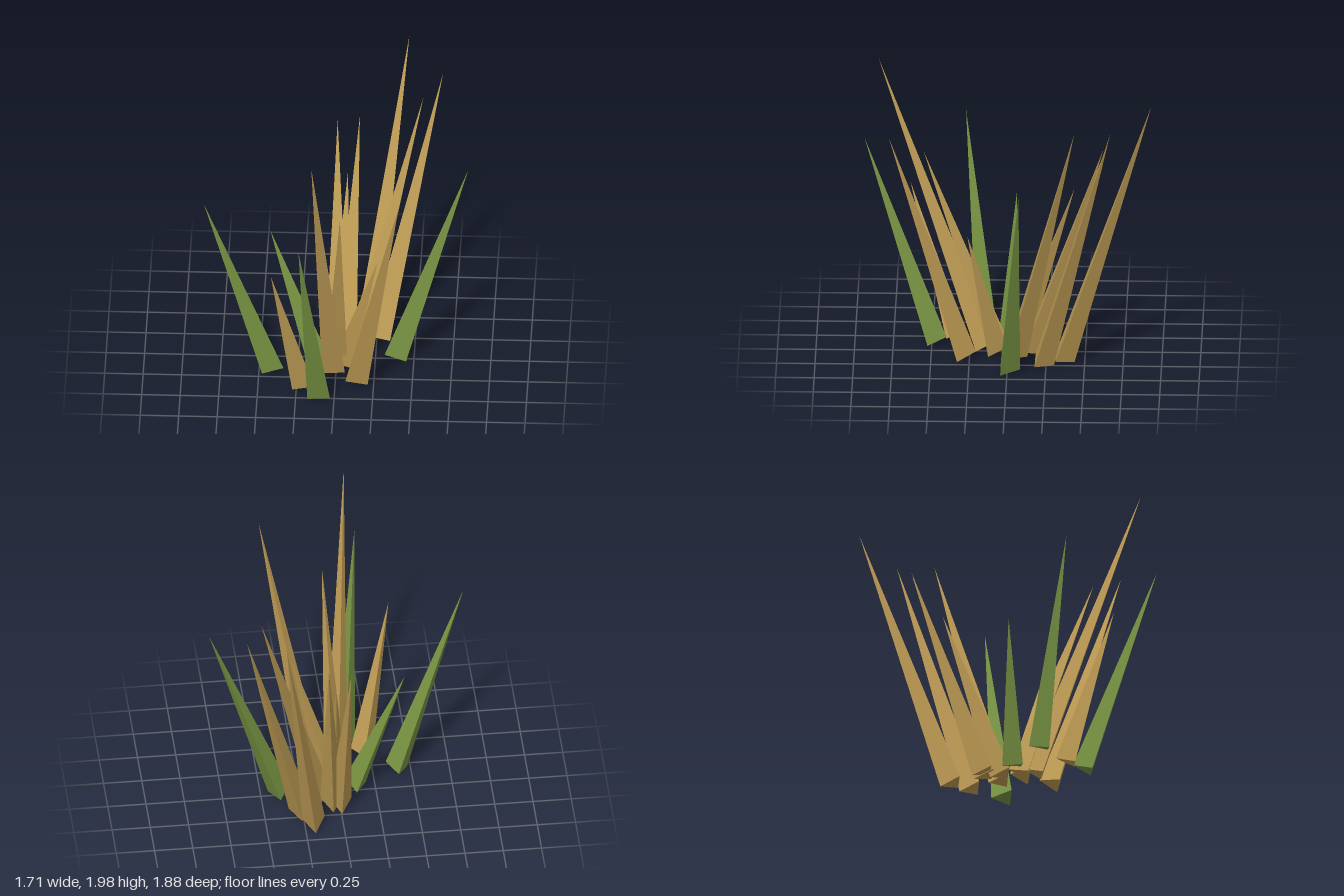
import * as THREE from 'three';

export function createModel() {
  const group = new THREE.Group();
  group.name = 'grassTuft';

  const dryStraw = new THREE.MeshStandardMaterial({ color: 0xc09d55 });
  dryStraw.name = 'dryStraw';
  const freshGreen = new THREE.MeshStandardMaterial({ color: 0x789442 });
  freshGreen.name = 'freshGreen';
  dryStraw.flatShading = freshGreen.flatShading = true;

  const UP = new THREE.Vector3(0, 1, 0);
  const BASE_Y = 0.03;
  const RADIUS = 0.085;

  // Three-sided spike leaning from its root towards its tip
  function addBlade(name, material, [rootX, rootZ], [tipX, tipY, tipZ]) {
    const root = new THREE.Vector3(rootX, BASE_Y, rootZ);
    const axis = new THREE.Vector3(tipX, tipY, tipZ).sub(root);
    const height = axis.length();
    const geometry = new THREE.ConeGeometry(RADIUS, height, 3);
    geometry.rotateY(Math.PI).translate(0, height / 2, 0);
    const blade = new THREE.Mesh(geometry, material);
    blade.name = name;
    blade.position.copy(root);
    blade.quaternion.setFromUnitVectors(UP, axis.normalize());
    group.add(blade);
  }

  // Dry blades: root (x, z), tip (x, y, z)
  [
    [[0.19, -0.353], [0.435, 1.895, -0.94]],
    [[0.265, -0.22], [0.665, 1.78, -0.675]],
    [[0.12, -0.043], [0.545, 1.735, -0.44]],
    [[-0.005, -0.165], [-0.02, 1.43, -0.64]],
    [[0.05, -0.145], [0.125, 1.465, -0.62]],
    [[0.015, -0.045], [0.055, 1.16, -0.43]],
    [[-0.205, 0.365], [-0.405, 1.02, 0.645]],
    [[-0.015, 0.17], [-0.135, 1.985, 0.845]],
    [[0, 0.075], [0.04, 1.41, 0.55]],
    [[0.14, 0.29], [0.43, 1.65, 0.765]],
    [[0.04, 0.09], [0.275, 0.91, 0.26]],
  ].forEach(([root, tip], i) => addBlade(`dryBlade${i + 1}`, dryStraw, root, tip));

  // Green blades around the outside
  [
    [[0.38, 0], [0.85, 1.41, -0.085]],
    [[-0.123, 0.027], [-0.435, 0.94, -0.045]],
    [[-0.41, 0.175], [-0.855, 1.35, 0.295]],
    [[-0.1, 0.485], [-0.215, 1.4, 0.94]],
  ].forEach(([root, tip], i) => addBlade(`greenBlade${i + 1}`, freshGreen, root, tip));

  return group;
}
